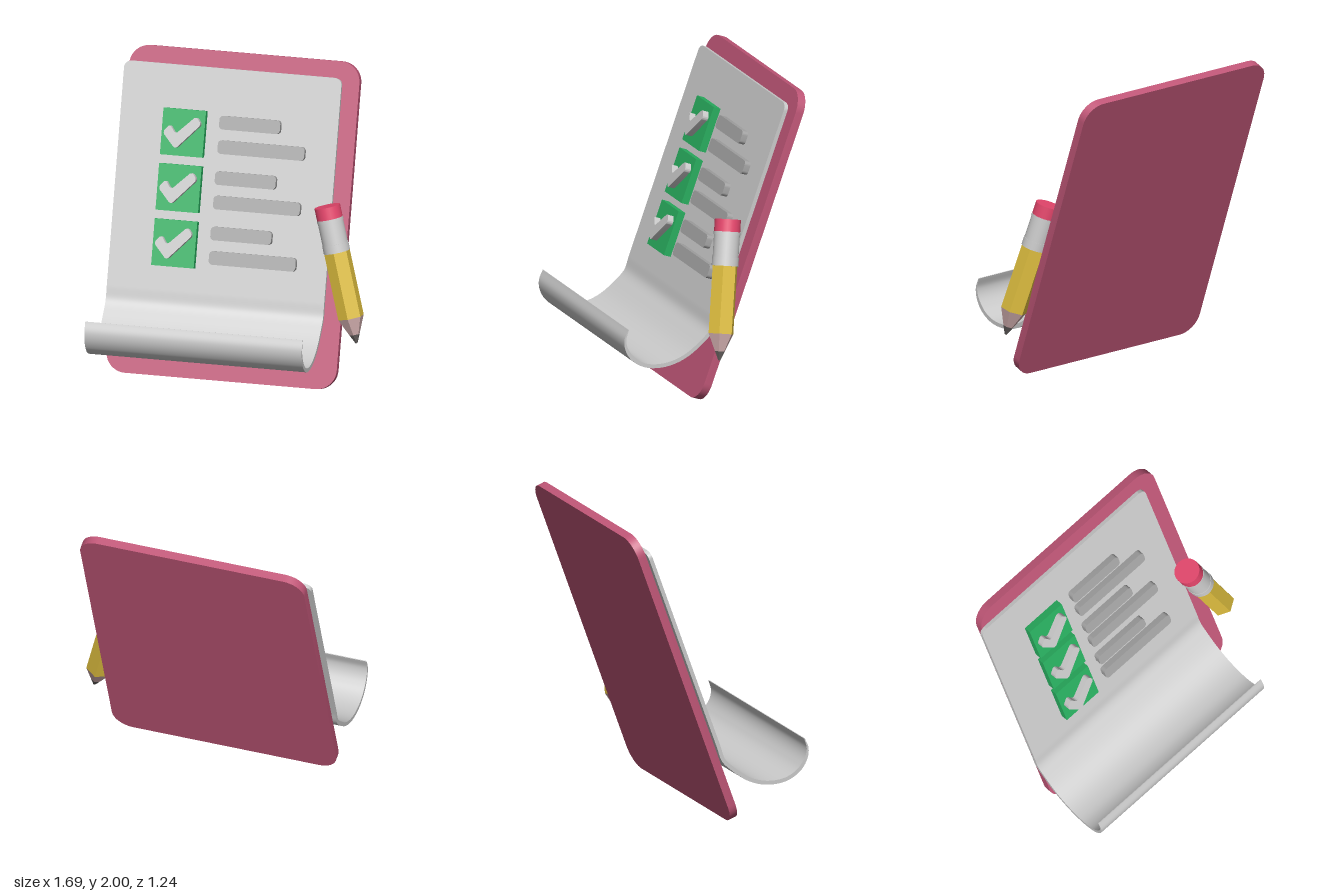
import * as THREE from 'three';
import { toCreasedNormals } from 'three/addons/utils/BufferGeometryUtils.js';

const TILT = THREE.MathUtils.degToRad(20);

const mat = (color = 0xcccccc, flatShading = false) => new THREE.MeshStandardMaterial({ color, flatShading });

function addMesh(parent, name, geometry, material, x = 0, y = 0, z = 0) {
  const mesh = new THREE.Mesh(geometry, material);
  mesh.name = name;
  mesh.position.set(x, y, z);
  parent.add(mesh);
  return mesh;
}

// Polygon with every corner rounded, extruded towards +z
function roundedSlab(points, radius, depth) {
  const shape = new THREE.Shape();
  const pts = points.map(([x, y]) => new THREE.Vector2(x, y));
  const n = pts.length;
  pts.forEach((p, i) => {
    const prev = pts[(i + n - 1) % n], next = pts[(i + 1) % n];
    const a = p.clone().add(prev.clone().sub(p).setLength(radius));
    const b = p.clone().add(next.clone().sub(p).setLength(radius));
    if (i === 0) shape.moveTo(a.x, a.y);
    else shape.lineTo(a.x, a.y);
    // handles at 0.55 approximate a circular corner
    const c1 = a.clone().lerp(p, 0.55), c2 = b.clone().lerp(p, 0.55);
    shape.bezierCurveTo(c1.x, c1.y, c2.x, c2.y, b.x, b.y);
  });
  shape.closePath();
  const geo = new THREE.ExtrudeGeometry(shape, { depth, bevelEnabled: false, curveSegments: 10 });
  return toCreasedNormals(geo, 0.6);
}

const rect = (w, h) => [[-w / 2, -h / 2], [w / 2, -h / 2], [w / 2, h / 2], [-w / 2, h / 2]];

// Sheet bent along a side profile: straight on the board, then curling forward
function paperGeometry() {
  const width = 1.43, thickness = 0.026, corner = 0.045, w = 0.045;
  const onBoard = (v) => new THREE.Vector3(0,
    1 + v * Math.cos(TILT) + w * Math.sin(TILT),
    -0.233 - v * Math.sin(TILT) + w * Math.cos(TILT));
  const curl = [[0.08, 0.385], [0.18, 0.31], [0.28, 0.269], [0.38, 0.257], [0.47, 0.271],
    [0.55, 0.318], [0.6, 0.39], [0.611, 0.455], [0.588, 0.523]];
  const curve = new THREE.CatmullRomCurve3([
    ...[0.945, 0.5, 0, -0.3, -0.5, -0.6].map(onBoard),
    ...curl.map(([z, y]) => new THREE.Vector3(0, y, z)),
  ]);
  curve.arcLengthDivisions = 800;
  const length = curve.getLength();
  const geo = new THREE.BoxGeometry(width, 1, thickness, 1, 240, 1);
  const pos = geo.attributes.position;
  for (let i = 0; i < pos.count; i++) {
    const t = THREE.MathUtils.clamp(0.5 - pos.getY(i), 0, 1);
    const p = curve.getPointAt(t), down = curve.getTangentAt(t);
    // rounded top corners and a thin free edge
    const d = Math.max(0, corner - t * length);
    const inset = corner - Math.sqrt(corner * corner - d * d);
    const off = pos.getZ(i) * Math.min(1, 0.2 + (1 - t) * 10);
    const x = Math.sign(pos.getX(i)) * (width / 2 - inset) - 0.135;
    pos.setXYZ(i, x, p.y + down.z * off, p.z - down.y * off);
  }
  geo.computeVertexNormals();
  return geo;
}

function createPencil() {
  const pencil = new THREE.Group();
  pencil.name = 'pencil';
  const top = new THREE.Vector3(0.578, 1.183, -0.1);
  const tip = new THREE.Vector3(0.808, 0.32, 0.055);
  pencil.position.copy(top);
  pencil.quaternion.setFromUnitVectors(new THREE.Vector3(0, -1, 0), tip.clone().sub(top).normalize());

  // name, start, end (distance from the top), radii, sides, colour
  const sections = [
    ['eraser', 0, 0.085, 0.084, 0.084, 32, 0xe5466c],
    ['ferrule', 0.085, 0.3, 0.083, 0.083, 32, 0xcccccc],
    ['ferruleUpperBand', 0.08, 0.1, 0.086, 0.086, 32, 0xcccccc],
    ['ferruleLowerBand', 0.245, 0.3, 0.086, 0.086, 32, 0xcccccc],
    ['pencilBody', 0.3, 0.735, 0.086, 0.086, 6, 0xddbd3e],
    ['sharpenedWood', 0.735, 0.848, 0.086, 0.034, 6, 0xd4b0b0],
    ['pencilLead', 0.848, 0.905, 0.034, 0.007, 6, 0x625e5c],
  ];
  for (const [name, a, b, r1, r2, sides, color] of sections) {
    addMesh(pencil, name, new THREE.CylinderGeometry(r1, r2, b - a, sides),
      mat(color, sides === 6), 0, -(a + b) / 2, 0);
  }
  return pencil;
}

export function createModel() {
  const model = new THREE.Group();
  model.name = 'checklistClipboard';

  // Everything flat on the board lives in one tilted group
  const tilted = new THREE.Group();
  tilted.name = 'tiltedBoard';
  tilted.position.set(0, 1, -0.233);
  tilted.rotation.x = -TILT;
  model.add(tilted);

  addMesh(tilted, 'board', roundedSlab(rect(1.515, 2.106), 0.13, 0.055), mat(0xc15778), -0.0675, 0, -0.0275);
  addMesh(model, 'paper', paperGeometry(), mat());

  // Three checklist rows: box, tick and two text bars
  const boxGeo = new THREE.BoxGeometry(0.28, 0.3, 0.052);
  const tickGeo = roundedSlab([[-0.125, -0.005], [-0.08, 0.05], [-0.04, -0.012], [0.088, 0.112],
    [0.125, 0.062], [-0.035, -0.108]], 0.022, 0.045);
  const shortBar = roundedSlab(rect(0.4, 0.088), 0.025, 0.045);
  const longBar = roundedSlab(rect(0.57, 0.088), 0.025, 0.045);
  const green = mat(0x29b060), barGrey = mat(0xa6a6a6), tickGrey = mat();
  for (let i = 0; i < 3; i++) {
    const row = new THREE.Group();
    row.name = 'checklistRow' + (i + 1);
    row.position.y = 0.514 - i * 0.356;
    tilted.add(row);
    addMesh(row, 'checkBox', boxGeo, green, -0.42, 0, 0.082);
    addMesh(row, 'tick', tickGeo, tickGrey, -0.42, 0, 0.105);
    addMesh(row, 'shortTextBar', shortBar, barGrey, 0.01, 0.085, 0.055);
    addMesh(row, 'longTextBar', longBar, barGrey, 0.097, -0.072, 0.055);
  }

  model.add(createPencil());
  return model;
}
